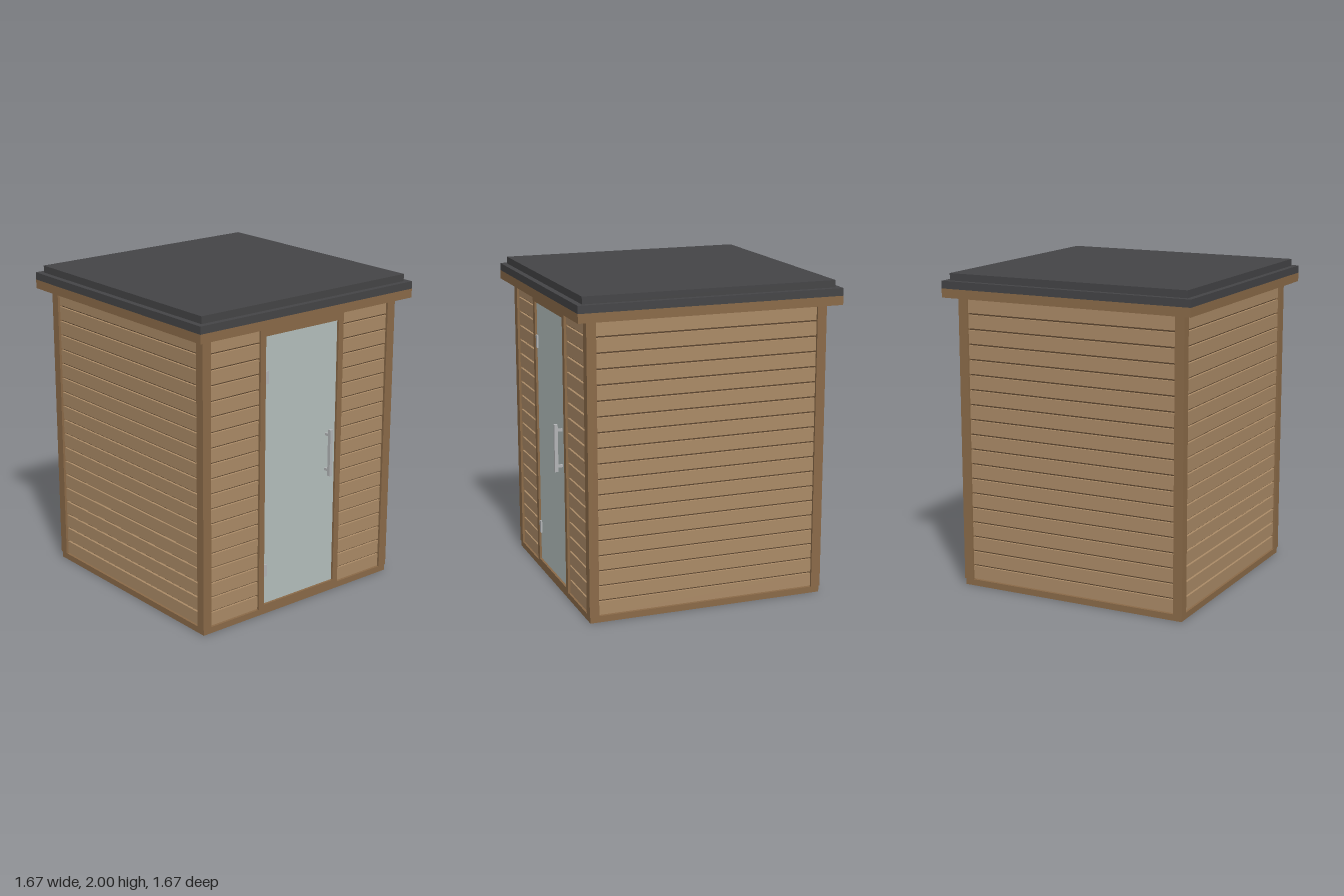
import * as THREE from 'three';

const mat = (color) => new THREE.MeshStandardMaterial({ color });

export function createModel() {
  const group = new THREE.Group();
  const plankWood = mat(0xaa8a66);
  const trimWood = mat(0x8a6a48);
  const grooveWood = mat(0x5c4630);
  const roofing = mat(0x444446);
  const glass = mat(0xb4bfbd);
  const steel = mat(0xb2b4b6);

  // Box given by its minimum and maximum along each axis
  const box = (name, material, [x0, x1], [y0, y1], [z0, z1], parent = group) => {
    const mesh = new THREE.Mesh(new THREE.BoxGeometry(x1 - x0, y1 - y0, z1 - z0), material);
    mesh.position.set((x0 + x1) / 2, (y0 + y1) / 2, (z0 + z1) / 2);
    mesh.name = name;
    parent.add(mesh);
    return mesh;
  };

  // Floor plinth and the dark core seen through the plank grooves
  box('plinth', trimWood, [-0.76, 0.76], [0, 0.04], [-0.76, 0.76]);
  box('wallCore', grooveWood, [-0.735, 0.735], [0.04, 1.91], [-0.735, 0.735]);

  // Corner posts
  for (const sx of [-1, 1]) {
    for (const sz of [-1, 1]) {
      const x = sx * 0.735, z = sz * 0.735;
      box('cornerPost', trimWood, [x - 0.03, x + 0.03], [0.04, 1.91], [z - 0.03, z + 0.03]);
    }
  }

  // Horizontal cladding: one wall per side, the front split by the door
  const pitch = 0.095, gap = 0.012, inner = 0.73, outer = 0.75, half = 0.705;
  const addCladding = (name, angle, x0, x1) => {
    const wall = new THREE.Group();
    wall.name = name;
    wall.rotation.y = angle;
    for (let i = 0; i < 20; i++) {
      const y0 = 0.038 + i * pitch + gap / 2;
      const y1 = Math.min(y0 + pitch - gap, 1.91);
      if (y1 > y0) box('plank', plankWood, [x0, x1], [y0, y1], [inner, outer], wall);
    }
    group.add(wall);
  };
  addCladding('frontCladdingRight', 0, -half, -0.33);
  addCladding('frontCladdingLeft', 0, 0.33, half);
  addCladding('leftCladding', Math.PI / 2, -half, half);
  addCladding('backCladding', Math.PI, -half, half);
  addCladding('rightCladding', -Math.PI / 2, -half, half);
  box('plankAboveDoor', plankWood, [-0.33, 0.33], [1.83, 1.91], [inner, outer]);

  // Door frame and glass door
  box('frameRight', trimWood, [-0.33, -0.29], [0.04, 1.83], [0.73, 0.765]);
  box('frameLeft', trimWood, [0.29, 0.33], [0.04, 1.83], [0.73, 0.765]);
  box('frameHead', trimWood, [-0.29, 0.29], [1.785, 1.83], [0.73, 0.765]);
  box('frameSill', trimWood, [-0.29, 0.29], [0.04, 0.065], [0.73, 0.765]);
  box('glassDoor', glass, [-0.288, 0.288], [0.067, 1.783], [0.738, 0.752]);

  // Hinges
  for (const y of [0.29, 1.53]) {
    box('hinge', steel, [-0.29, -0.264], [y - 0.04, y + 0.04], [0.745, 0.762]);
  }

  // Pull handle with two standoffs
  const handle = new THREE.Group();
  handle.name = 'doorHandle';
  box('handleBar', steel, [0.205, 0.226], [0.805, 1.107], [0.782, 0.804], handle);
  for (const y of [0.84, 1.07]) {
    box('handleStandoff', steel, [0.208, 0.223], [y - 0.008, y + 0.008], [0.75, 0.784], handle);
  }
  group.add(handle);

  // Fascia boards around the eaves
  for (let i = 0; i < 4; i++) {
    const side = new THREE.Group();
    side.name = 'fascia';
    side.rotation.y = i * Math.PI / 2;
    box('fasciaBoard', trimWood, [-0.837, 0.809], [1.852, 1.908], [0.809, 0.837], side);
    group.add(side);
  }

  // Flat roof in two steps
  box('roofEdge', roofing, [-0.837, 0.837], [1.908, 1.955], [-0.837, 0.837]);
  box('roofTop', roofing, [-0.8, 0.8], [1.955, 2], [-0.8, 0.8]);

  return group;
}
